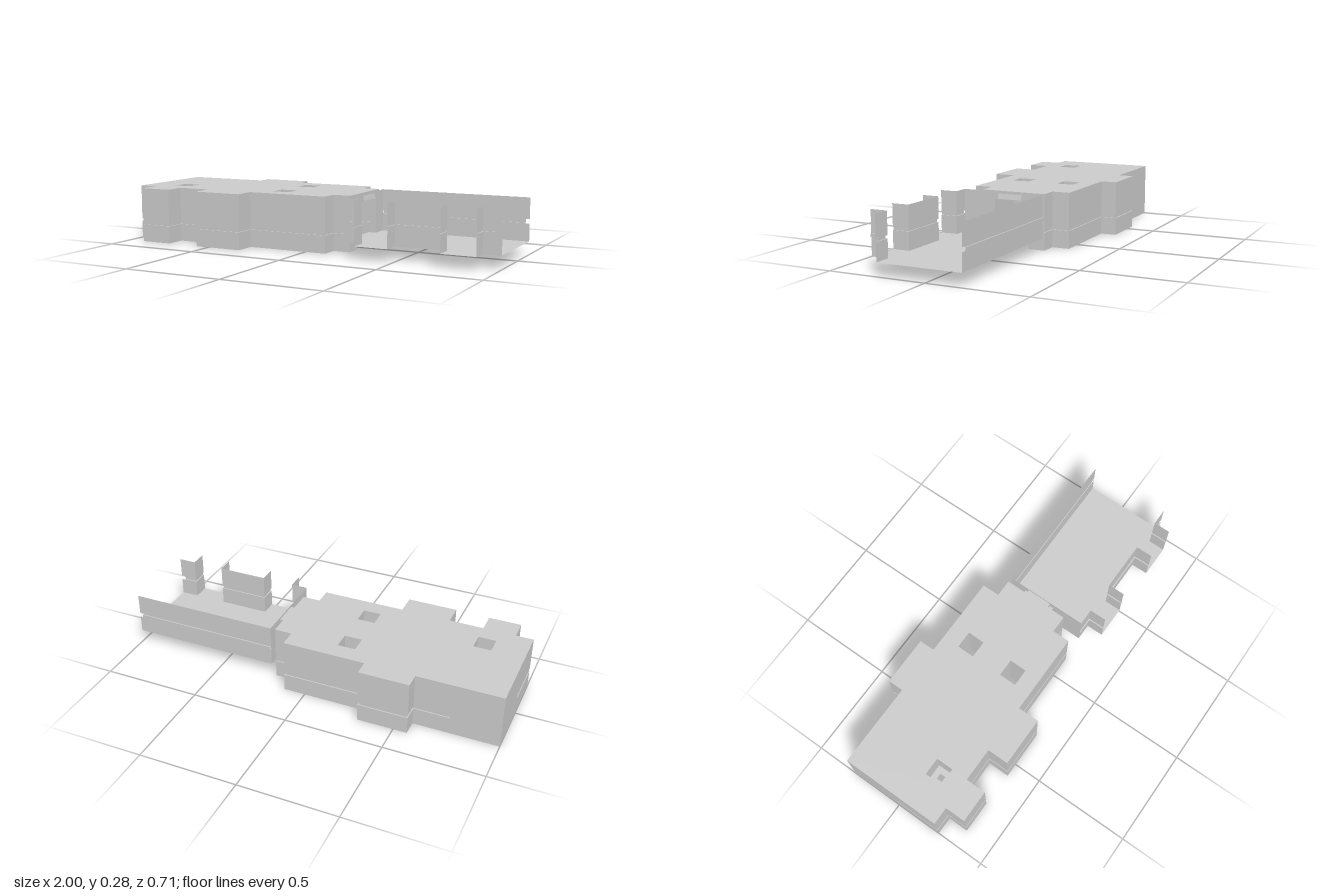
import * as THREE from 'three';

const mat = new THREE.MeshStandardMaterial({ color: 0xcccccc, side: THREE.DoubleSide, flatShading: true });
const TOP = 0.28, STEP = 0.065;

export function createModel() {
  const model = new THREE.Group();
  const add = (name, geo) => {
    const m = new THREE.Mesh(geo, mat);
    m.name = name;
    model.add(m);
    return m;
  };
  const rect = (x0, x1, z0, z1) => [[x0, z0], [x1, z0], [x1, z1], [x0, z1]];
  const toVec = (pts) => pts.map(([a, b]) => new THREE.Vector2(a, b));

  // Horizontal sheet from an (x, z) outline with holes
  const slab = (name, y, outline, holes = []) => {
    const s = new THREE.Shape(toVec(outline));
    holes.forEach((h) => s.holes.push(new THREE.Path(toVec(h))));
    add(name, new THREE.ShapeGeometry(s).rotateX(Math.PI / 2).translate(0, y, 0));
  };

  // Sweeps an [offset, y] profile along an (x, z) path with mitred corners
  const sweep = (name, path, profile) => {
    const normals = path.slice(1).map(([x, z], i) => {
      const dx = x - path[i][0], dz = z - path[i][1], l = Math.hypot(dx, dz);
      return [-dz / l, dx / l];
    });
    const pos = [], idx = [], n = profile.length;
    path.forEach(([x, z], i) => {
      const a = normals[Math.max(i - 1, 0)], b = normals[Math.min(i, normals.length - 1)];
      const k = 1 + a[0] * b[0] + a[1] * b[1];
      profile.forEach(([o, y]) => pos.push(x + (o * (a[0] + b[0])) / k, y, z + (o * (a[1] + b[1])) / k));
    });
    for (let i = 0; i < path.length - 1; i++)
      for (let j = 0; j < n - 1; j++) {
        const p = i * n + j, q = p + n;
        idx.push(p, q, p + 1, q, q + 1, p + 1);
      }
    const g = new THREE.BufferGeometry();
    g.setAttribute('position', new THREE.Float32BufferAttribute(pos, 3));
    g.setIndex(idx);
    const flat = g.toNonIndexed();
    flat.computeVertexNormals();
    add(name, flat);
  };
  const plain = (y0, y1) => [[0, y0], [0, y1]];
  const grooved = (y0, g0, g1, d) => [[0, y0], [0, g0], [d, g0], [d, g1], [0, g1], [0, TOP]];

  // Wall across x, with a doorway, from a (z, y) outline
  const doorWall = (name, x, outline) => {
    const g = new THREE.ShapeGeometry(new THREE.Shape(toVec(outline)));
    add(name, g.rotateY(-Math.PI / 2).translate(x, 0, 0));
  };

  // ---- Closed hall ----
  const front = [[0.2, 0.155], [0.11, 0.155], [0.11, 0.245], [-0.315, 0.245], [-0.315, 0.355], [-0.57, 0.355],
    [-0.57, 0.245], [-0.745, 0.245], [-0.745, 0.35], [-0.91, 0.35], [-0.91, 0.245], [-1, 0.245]];
  const back = [[-0.57, -0.275], [-0.57, -0.355], [-0.315, -0.355], [-0.315, -0.275], [0.11, -0.275],
    [0.11, -0.185], [0.2, -0.185]];
  const hallGroove = grooved(0, 0.089, 0.105, 0.006);
  sweep('hallFrontWall', [...front, [-1, 0]], hallGroove);
  sweep('hallBackWall', [[-0.75, -0.275], ...back], hallGroove);
  sweep('hallCornerWall', [[-1, 0], [-1, -0.275], [-0.75, -0.275]], plain(0, TOP));

  // Square shafts through the hall
  const shafts = [rect(-0.23, -0.14, -0.185, -0.095), rect(-0.23, -0.14, 0.07, 0.16), rect(-0.835, -0.745, 0.07, 0.16)];
  shafts.forEach((s) => sweep('shaft', [...s, s[0]], plain(0, TOP)));
  slab('shaftPlate', 0.14, shafts[2], [rect(-0.805, -0.775, 0.1, 0.13)]);

  slab('hallRoof', TOP, [...front, [-1, -0.275], ...back], shafts);
  const D0 = -0.095, D1 = 0.075, DH = 0.24, SX = 0.12;
  slab('hallFloor', 0, [...front, [-1, -0.1], [-0.83, -0.1], [-0.83, -0.275], ...back,
    [0.2, D0], [SX, D0], [SX, D1], [0.2, D1]], shafts);

  // Shallow raised corner of the hall floor
  const corner = rect(-1, -0.83, -0.275, -0.1);
  slab('raisedCorner', 0.02, corner);
  sweep('raisedCornerRim', [...corner, corner[0]], plain(0, 0.02));

  // ---- Doorway, stairs and passage ----
  doorWall('hallDoorWall', 0.2, [[-0.185, 0], [D0, 0], [D0, DH], [D1, DH], [D1, 0], [0.155, 0], [0.155, TOP], [-0.185, TOP]]);
  doorWall('roomDoorWall', 0.225, [[-0.185, STEP], [D0, STEP], [D0, DH], [D1, DH], [D1, STEP], [0.245, STEP], [0.245, TOP], [-0.185, TOP]]);
  for (const z of [D0, D1]) sweep('passageSide', [[0.2, z], [0.225, z]], plain(STEP, DH));
  slab('passageCeiling', DH, rect(0.2, 0.225, D0, D1));
  slab('passageFloor', STEP, rect(0.2, 0.225, D0, D1));
  const steps = 6, run = (0.2 - SX) / steps, rise = STEP / steps;
  for (let i = 0; i < steps; i++) {
    const x = SX + i * run, y = i * rise;
    sweep('stairRiser', [[x, D0], [x, D1]], plain(y, y + rise));
    slab('stairTread', y + rise, rect(x, x + run, D0, D1));
    for (const z of [D0, D1]) sweep('stairSide', [[x, z], [x + run, z]], plain(0, y + rise));
  }

  // Slanted panel over the doorway
  const wedge = new THREE.Shape(toVec([[0.2, 0.245], [0.232, 0.245], [0.226, 0.27], [0.2, 0.27]]));
  add('doorPanel', new THREE.ExtrudeGeometry(wedge, { depth: 0.13, bevelEnabled: false }).translate(0, 0, -0.075));

  // ---- Open room ----
  const roomGroove = grooved(STEP, 0.155, 0.17, 0.006);
  slab('roomFloor', STEP, [[0.225, -0.185], [1, -0.185], [1, 0.245], [0.91, 0.245], [0.91, 0.332], [0.74, 0.332],
    [0.74, 0.245], [0.48, 0.245], [0.48, 0.332], [0.31, 0.332], [0.31, 0.245], [0.225, 0.245]]);
  sweep('roomBackWall', [[0.98, -0.185], [0.225, -0.185]], roomGroove);
  [
    [[0.225, 0.245], [0.31, 0.245], [0.31, 0.332]],
    [[0.48, 0.332], [0.48, 0.245], [0.74, 0.245], [0.74, 0.332]],
    [[0.91, 0.332], [0.91, 0.245], [0.98, 0.245]],
  ].forEach((p) => sweep('roomFrontWall', p, roomGroove));

  // Split wall ends at the open side
  for (const z of [-0.185, 0.245]) {
    sweep('wallEndLower', [[0.98, z], [1, z]], plain(STEP, 0.152));
    sweep('wallEndUpper', [[0.98, z], [1, z]], plain(0.174, TOP));
  }
  return model;
}
